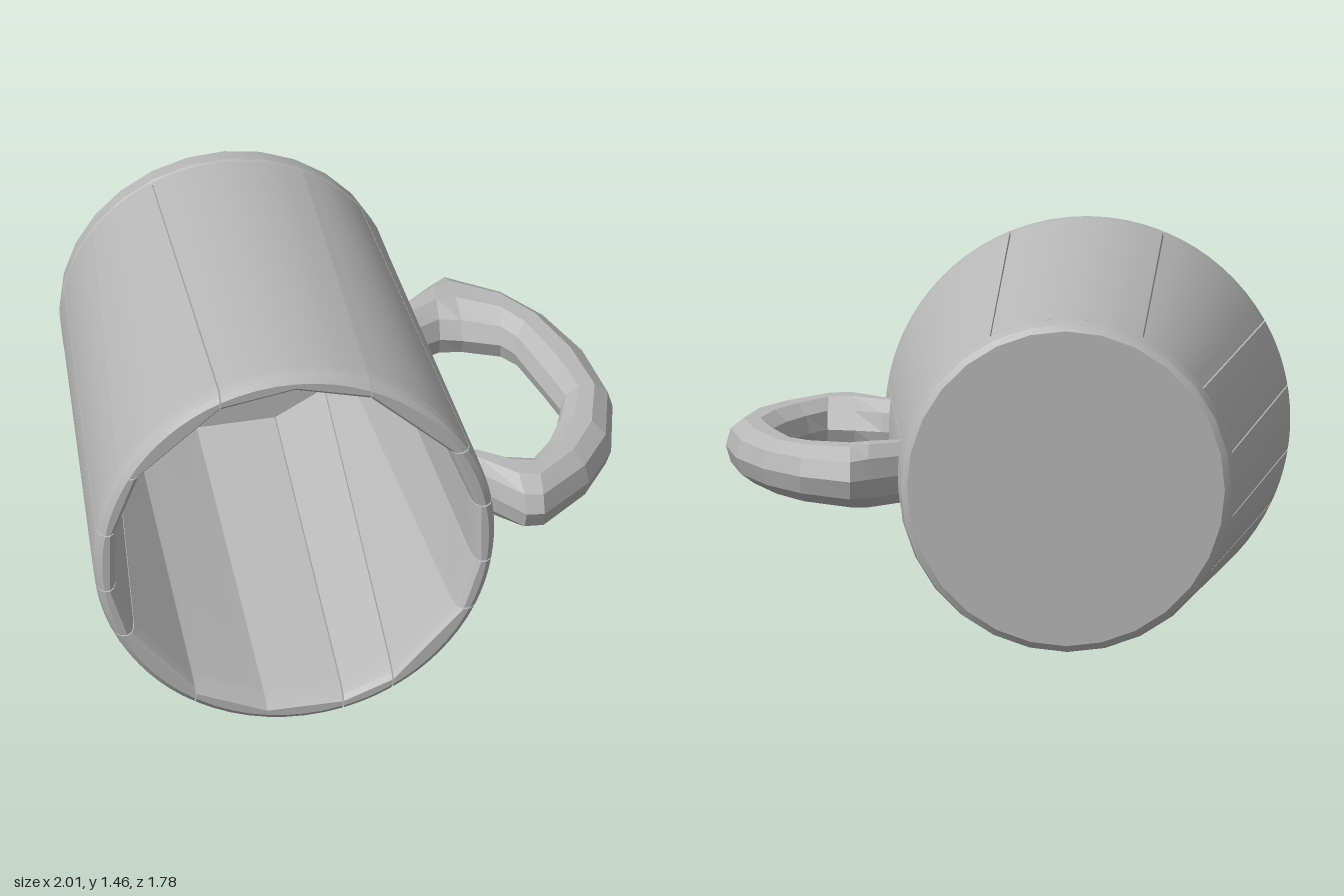
import * as THREE from 'three';
import { toCreasedNormals } from 'three/addons/utils/BufferGeometryUtils.js';

// Closed solid through equal-length loops, counter-clockwise seen from the loft direction
function loft(sections) {
  const n = sections[0].length, pos = sections.flat(2), idx = [];
  for (let i = 0; i < sections.length - 1; i++) {
    for (let j = 0; j < n; j++) {
      const k = (j + 1) % n, a = i * n + j, b = i * n + k;
      idx.push(a, b, b + n, a, b + n, a + n);
    }
  }
  const top = (sections.length - 1) * n;
  for (let j = 0; j < n / 2 - 1; j++) {
    const a = j, b = j + 1, c = n - 2 - j, d = n - 1 - j;
    idx.push(top + a, top + b, top + c, top + a, top + c, top + d);
    idx.push(a, c, b, a, d, c);
  }
  const g = new THREE.BufferGeometry();
  g.setAttribute('position', new THREE.Float32BufferAttribute(pos, 3));
  g.setIndex(idx);
  return g;
}

export function createModel() {
  const model = new THREE.Group();
  model.name = 'mug';
  const CX = -0.275, CY = 0.735;
  const smoothGrey = new THREE.MeshStandardMaterial({ color: 0xb8b8b8 });
  smoothGrey.name = 'grey';

  const add = (geometry, name, parent) => {
    const mesh = new THREE.Mesh(geometry, smoothGrey);
    mesh.name = name;
    parent.add(mesh);
    return mesh;
  };

  // Seams between the staves run parallel to the axis, each at a fixed offset
  const right = d => r => Math.asin(d / r);
  const top = d => r => Math.acos(d / r);
  const left = d => r => Math.PI - Math.asin(d / r);
  const bottom = d => r => 2 * Math.PI - Math.acos(d / r);
  const turn = f => r => f(r) + 2 * Math.PI;
  const seams = [
    right(-0.115), right(0.12), right(0.355), top(0.278), top(-0.275),
    left(0.355), left(0.12), left(-0.115), left(-0.31),
    bottom(-0.365), bottom(0.175), bottom(0.355),
    turn(right(-0.31)), turn(right(-0.115)),
  ];

  // z, outer radius, inner radius along a stave, with a rounded lip at the front
  const profile = [
    [-0.79, 0.606, 0.53], [0.78, 0.728, 0.655], [0.84, 0.732, 0.662],
    [0.87, 0.725, 0.672], [0.888, 0.706, 0.688],
  ];
  const GAP = 0.004, STEPS = 8;
  const staves = new THREE.Group();
  staves.name = 'staves';
  model.add(staves);
  for (let s = 0; s < seams.length - 1; s++) {
    const wide = seams[s + 1](0.73) - seams[s](0.73) > 0.7;
    const sections = profile.map(([z, ro, ri]) => {
      const outer = [], inner = [];
      const at = (r, t) => {
        const a = THREE.MathUtils.lerp(seams[s](r) + GAP, seams[s + 1](r) - GAP, t);
        return [CX + r * Math.cos(a), CY + r * Math.sin(a), z];
      };
      const chord = (t0, t1, u) => {
        const p = at(ri, t0), q = at(ri, t1);
        return p.map((v, i) => v + (q[i] - v) * u);
      };
      for (let k = 0; k <= STEPS; k++) {
        const t = k / STEPS;
        outer.push(at(ro, t));
        // flat inner faces, two on the wide staves
        if (!wide) inner.unshift(chord(0, 1, t));
        else inner.unshift(t < 0.5 ? chord(0, 0.5, t * 2) : chord(0.5, 1, t * 2 - 1));
      }
      return [...outer, ...inner];
    });
    add(toCreasedNormals(loft(sections), 0.3), 'stave', staves);
  }

  // Base with chamfered edge, closing the back end
  const basePoints = [
    [0, -0.89], [0.575, -0.89], [0.598, -0.872], [0.61, -0.80], [0.602, -0.784], [0, -0.784],
  ].map(p => new THREE.Vector2(...p));
  const base = new THREE.LatheGeometry(basePoints, 28);
  base.rotateX(Math.PI / 2);
  base.translate(CX, CY, 0);
  add(toCreasedNormals(base, 0.25), 'base', model);

  // Handle stations: inner x, z, outer x, z, half height
  const stations = [
    [0.325, -0.37, 0.32, -0.58, 0.11], [0.45, -0.43, 0.45, -0.71, 0.115],
    [0.53, -0.41, 0.51, -0.775, 0.11], [0.66, -0.36, 0.70, -0.645, 0.105],
    [0.70, -0.30, 0.84, -0.46, 0.10], [0.76, -0.08, 0.95, -0.20, 0.10],
    [0.81, 0.10, 1.00, 0.10, 0.10], [0.77, 0.24, 0.95, 0.40, 0.10],
    [0.71, 0.38, 0.84, 0.60, 0.10], [0.65, 0.48, 0.65, 0.785, 0.105],
    [0.55, 0.46, 0.585, 0.78, 0.11], [0.45, 0.43, 0.45, 0.61, 0.11],
    [0.395, 0.42, 0.395, 0.58, 0.11],
  ];
  const SIDES = 10;
  const handleLoops = stations.map(([xi, zi, xo, zo, h]) => {
    const loop = [];
    for (let k = 0; k < SIDES; k++) {
      const a = (k / SIDES) * Math.PI * 2, u = (1 + Math.cos(a)) / 2;
      loop.push([xi + (xo - xi) * u, CY + h * Math.sin(a) / Math.sin(Math.PI * 0.4), zi + (zo - zi) * u]);
    }
    return loop;
  });
  add(toCreasedNormals(loft(handleLoops), 0.1), 'handle', model);

  return model;
}
